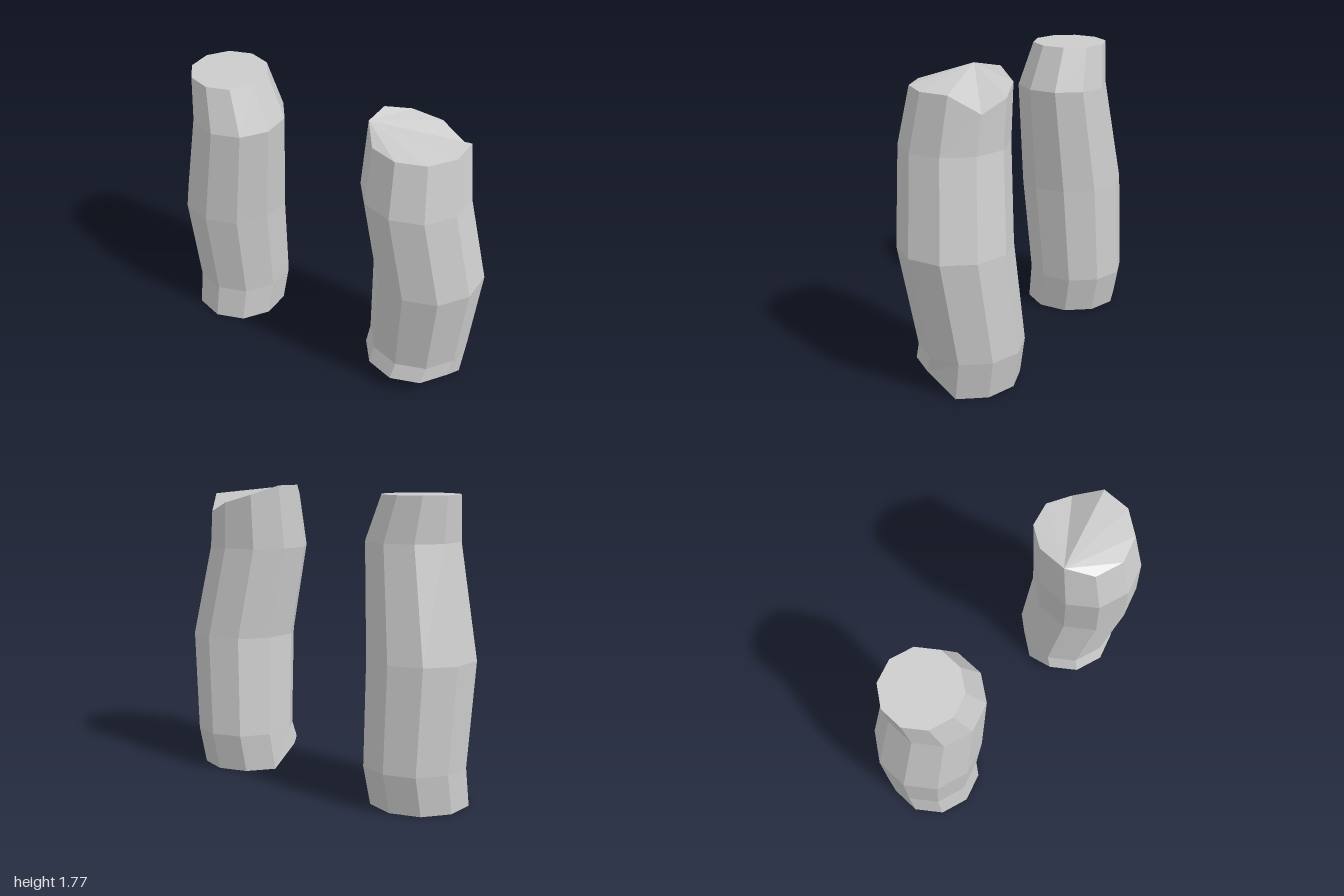
import * as THREE from 'three';

const SIDES = 10;

// Bent ten-sided column. rings: [x, y, z, radius] from bottom to top.
// bottomDy / topDy shift single corners of the end rings up or down;
// bottomFan / topFan are the corners from which the end caps spread.
function bentColumn(name, rings, { bottomDy = {}, topDy = {}, bottomFan = 0, topFan = 0 } = {}) {
  const positions = [];
  const index = [];
  const last = rings.length - 1;
  rings.forEach(([cx, cy, cz, r], i) => {
    const shift = i === 0 ? bottomDy : i === last ? topDy : {};
    for (let k = 0; k < SIDES; k++) {
      const a = (k / SIDES) * Math.PI * 2;
      positions.push(cx + r * Math.sin(a), cy + (shift[k] ?? 0), cz + r * Math.cos(a));
    }
  });
  const at = (i, k) => i * SIDES + (k % SIDES);

  // side walls
  for (let i = 0; i < last; i++) {
    for (let k = 0; k < SIDES; k++) {
      index.push(at(i, k), at(i, k + 1), at(i + 1, k + 1));
      index.push(at(i, k), at(i + 1, k + 1), at(i + 1, k));
    }
  }
  // end caps
  for (let k = 1; k < SIDES - 1; k++) {
    index.push(at(0, bottomFan), at(0, bottomFan + k + 1), at(0, bottomFan + k));
    index.push(at(last, topFan), at(last, topFan + k), at(last, topFan + k + 1));
  }

  const indexed = new THREE.BufferGeometry();
  indexed.setAttribute('position', new THREE.Float32BufferAttribute(positions, 3));
  indexed.setIndex(index);
  const geometry = indexed.toNonIndexed();
  geometry.computeVertexNormals();
  const mesh = new THREE.Mesh(
    geometry,
    new THREE.MeshStandardMaterial({ color: 0xcccccc, flatShading: true })
  );
  mesh.name = name;
  return mesh;
}

export function createModel() {
  const group = new THREE.Group();
  group.name = 'bentColumns';

  // column with level ends
  group.add(bentColumn('rightColumn', [
    [-0.703, 0, -0.03, 0.293],
    [-0.69, 0.23, -0.065, 0.303],
    [-0.693, 0.835, -0.018, 0.322],
    [-0.605, 1.485, 0.015, 0.28],
    [-0.667, 1.745, 0, 0.23],
  ]));

  // column with broken, uneven ends
  group.add(bentColumn('leftColumn', [
    [0.615, 0, -0.025, 0.3],
    [0.63, 0.23, -0.06, 0.305],
    [0.69, 0.835, 0, 0.325],
    [0.6, 1.39, 0.05, 0.31],
    [0.585, 1.715, 0.01, 0.28],
  ], {
    bottomDy: { 8: 0.125, 9: 0.125, 0: 0.125, 1: 0.125, 2: 0.125 },
    topDy: { 4: -0.105, 5: -0.045, 6: 0.005, 7: 0.06, 8: 0.06 },
    bottomFan: 5,
    topFan: 8,
  }));

  return group;
}
